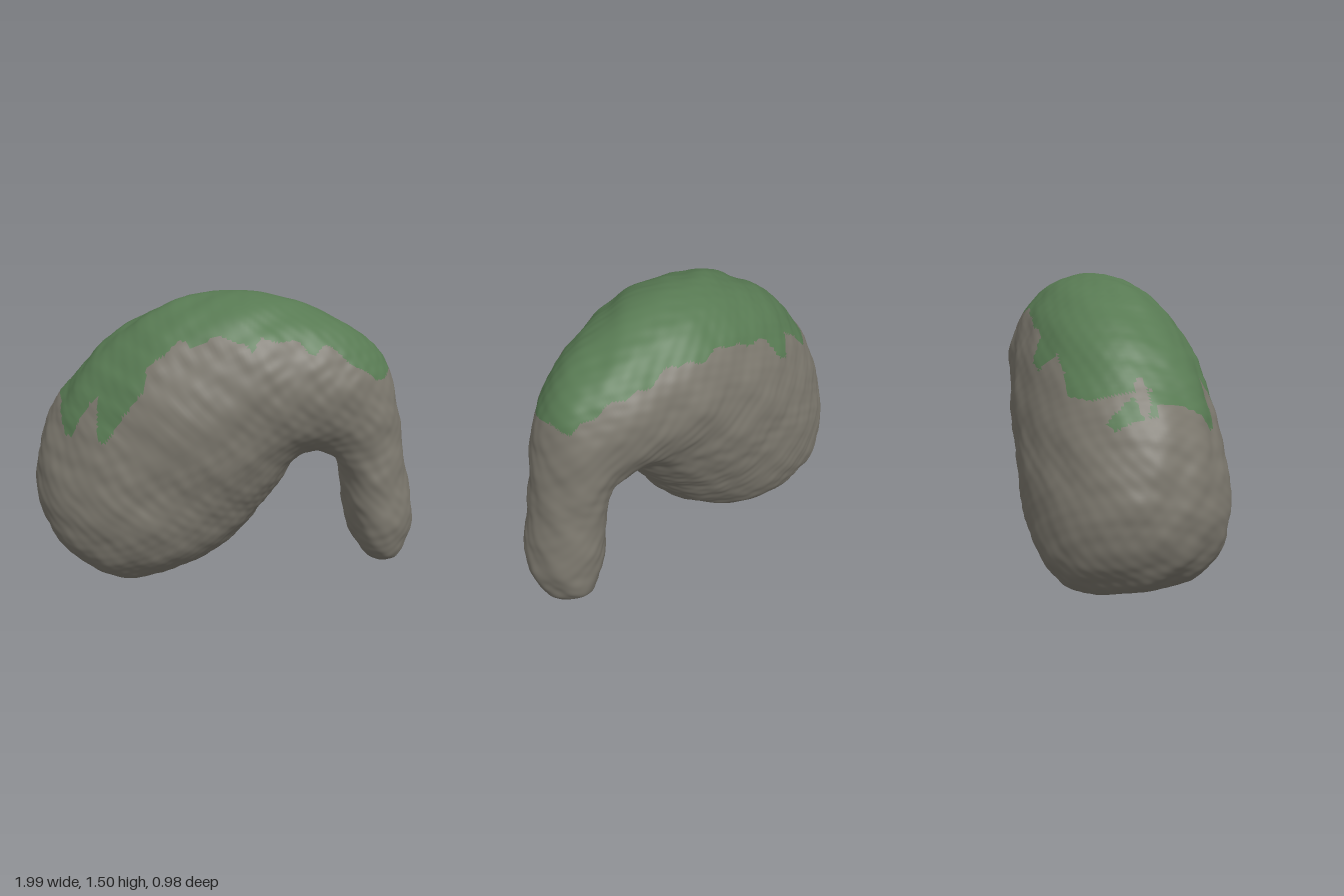
import * as THREE from 'three';

// Each section of the boulder: outer edge x, y, inner edge x, y, half depth in z
const SECTIONS = [
  [-0.68, 0.07, -0.68, 0.07, 0],
  [-0.80, 0.14, -0.54, 0.03, 0.20],
  [-0.91, 0.25, -0.38, 0.01, 0.33],
  [-0.98, 0.40, -0.20, 0.06, 0.42],
  [-1.00, 0.55, -0.05, 0.14, 0.465],
  [-0.97, 0.73, 0.07, 0.24, 0.485],
  [-0.90, 0.90, 0.15, 0.33, 0.48],
  [-0.79, 1.06, 0.21, 0.42, 0.475],
  [-0.62, 1.24, 0.27, 0.50, 0.47],
  [-0.40, 1.39, 0.32, 0.58, 0.45],
  [-0.17, 1.48, 0.36, 0.64, 0.42],
  [0.08, 1.51, 0.40, 0.675, 0.39],
  [0.30, 1.47, 0.44, 0.685, 0.35],
  [0.50, 1.40, 0.48, 0.69, 0.32],
  [0.66, 1.31, 0.53, 0.67, 0.28],
  [0.78, 1.20, 0.57, 0.64, 0.24],
  [0.85, 1.06, 0.595, 0.58, 0.22],
  [0.89, 0.88, 0.61, 0.50, 0.21],
  [0.93, 0.65, 0.62, 0.40, 0.215],
  [0.97, 0.48, 0.64, 0.30, 0.22],
  [0.99, 0.33, 0.67, 0.21, 0.21],
  [0.97, 0.20, 0.72, 0.14, 0.18],
  [0.93, 0.11, 0.78, 0.09, 0.11],
  [0.86, 0.07, 0.86, 0.07, 0],
];

// Lower edge of the moss as x, y pairs, for the front and the back
const FRONT_EDGE = [
  [-1, 1.02], [-0.84, 1.0], [-0.80, 0.93], [-0.78, 0.84], [-0.74, 0.86], [-0.68, 0.97],
  [-0.60, 1.05], [-0.59, 0.87], [-0.56, 0.84], [-0.52, 0.89], [-0.46, 1.0], [-0.36, 1.10],
  [-0.35, 1.20], [-0.28, 1.26], [-0.20, 1.34], [-0.15, 1.30], [-0.05, 1.35], [0.10, 1.33],
  [0.14, 1.27], [0.18, 1.34], [0.37, 1.31], [0.43, 1.26], [0.48, 1.30], [0.60, 1.22],
  [0.74, 1.11], [0.79, 1.11], [0.84, 1.16], [1, 1.2],
];
const BACK_EDGE = [
  [-1, 1.05], [-0.90, 0.98], [-0.85, 0.90], [-0.82, 0.92], [-0.80, 1.06], [-0.73, 1.0],
  [-0.62, 1.02], [-0.52, 1.12], [-0.45, 1.18], [-0.38, 1.09], [-0.32, 1.11], [-0.26, 1.24],
  [-0.10, 1.28], [0.05, 1.33], [0.2, 1.31], [0.32, 1.33], [0.45, 1.28], [0.6, 1.25],
  [0.72, 1.19], [0.79, 1.13], [0.84, 1.16], [1, 1.2],
];

function edgeHeight(edge, x) {
  for (let k = 1; k < edge.length; k++) {
    if (x > edge[k][0]) continue;
    const [x0, y0] = edge[k - 1], [x1, y1] = edge[k];
    return y0 + (y1 - y0) * (x - x0) / (x1 - x0);
  }
  return edge[edge.length - 1][1];
}

function isMoss(p) {
  // small bare patch at the broad end
  if (Math.hypot((p.x + 0.81) / 0.06, (p.z + 0.05) / 0.03) < 1) return false;
  const y = edgeHeight(p.z > 0 ? FRONT_EDGE : BACK_EDGE, p.x);
  return p.y > y + 0.008 * Math.sin(p.x * 40 + p.z * 25);
}

// Uneven weathered surface made of overlapping waves
function bump(x, y, z) {
  const broad = Math.sin(9 * x + 5 * z + 1) * Math.sin(8 * y - 6 * z) * Math.cos(9 * z + 4 * x);
  const mid = Math.sin(24 * x + 9 * y + 3 * Math.sin(7 * z)) * Math.sin(27 * y - 8 * z) + Math.sin(25 * z + 11 * x) * Math.cos(22 * y - 9 * x);
  const fine = Math.sin(55 * x - 21 * z + 2 * Math.sin(13 * y)) * Math.sin(61 * y + 17 * x) * Math.cos(48 * z + 9 * y);
  return 0.009 * broad + 0.0035 * mid + 0.0025 * fine;
}

function boulderGeometry(rings, sides) {
  const spline = (f) => new THREE.CatmullRomCurve3(SECTIONS.map(f), false, 'catmullrom', 0.5);
  const outer = spline((s) => new THREE.Vector3(s[0], s[1], s[4]));
  const inner = spline((s) => new THREE.Vector3(s[2], s[3], s[4]));
  const points = [];
  for (let i = 0; i <= rings; i++) {
    const o = outer.getPoint(i / rings), n = inner.getPoint(i / rings);
    if (i === 0 || i === rings) { // closed ends
      points.push(o);
      continue;
    }
    for (let j = 0; j < sides; j++) {
      const a = (j / sides) * Math.PI * 2, c = Math.cos(a) / 2;
      points.push(new THREE.Vector3(
        o.x * (0.5 + c) + n.x * (0.5 - c),
        o.y * (0.5 + c) + n.y * (0.5 - c),
        o.z * Math.sin(a)));
    }
  }
  const id = (i, j) => i === 0 ? 0 : i === rings ? points.length - 1 : 1 + (i - 1) * sides + (j % sides);

  // sort the faces into stone and moss
  const faces = [[], []];
  const mid = new THREE.Vector3();
  const addFace = (a, b, c) => {
    mid.copy(points[a]).add(points[b]).add(points[c]).divideScalar(3);
    faces[isMoss(mid) ? 1 : 0].push(a, b, c);
  };
  for (let i = 0; i < rings; i++) {
    for (let j = 0; j < sides; j++) {
      const a = id(i, j), b = id(i, j + 1), c = id(i + 1, j), d = id(i + 1, j + 1);
      if (i > 0) addFace(a, b, c);
      if (i < rings - 1) addFace(b, d, c);
    }
  }
  const geometry = new THREE.BufferGeometry().setFromPoints(points);
  geometry.setIndex([...faces[0], ...faces[1]]);
  geometry.addGroup(0, faces[0].length, 0);
  geometry.addGroup(faces[0].length, faces[1].length, 1);

  // push the surface in and out along its normals
  geometry.computeVertexNormals();
  const pos = geometry.attributes.position, nor = geometry.attributes.normal;
  points.forEach((p, k) => {
    const h = bump(p.x, p.y, p.z);
    pos.setXYZ(k, p.x + nor.getX(k) * h, Math.max(0, p.y + nor.getY(k) * h), p.z + nor.getZ(k) * h);
  });
  geometry.computeVertexNormals();
  return geometry;
}

export function createModel() {
  const stone = new THREE.MeshStandardMaterial({ color: 0x7b776d });
  stone.name = 'stone';
  const moss = new THREE.MeshStandardMaterial({ color: 0x587a53 });
  moss.name = 'moss';

  const boulder = new THREE.Mesh(boulderGeometry(280, 200), [stone, moss]);
  boulder.name = 'mossyArchedBoulder';

  const group = new THREE.Group();
  group.name = 'mossyRock';
  group.add(boulder);
  return group;
}
